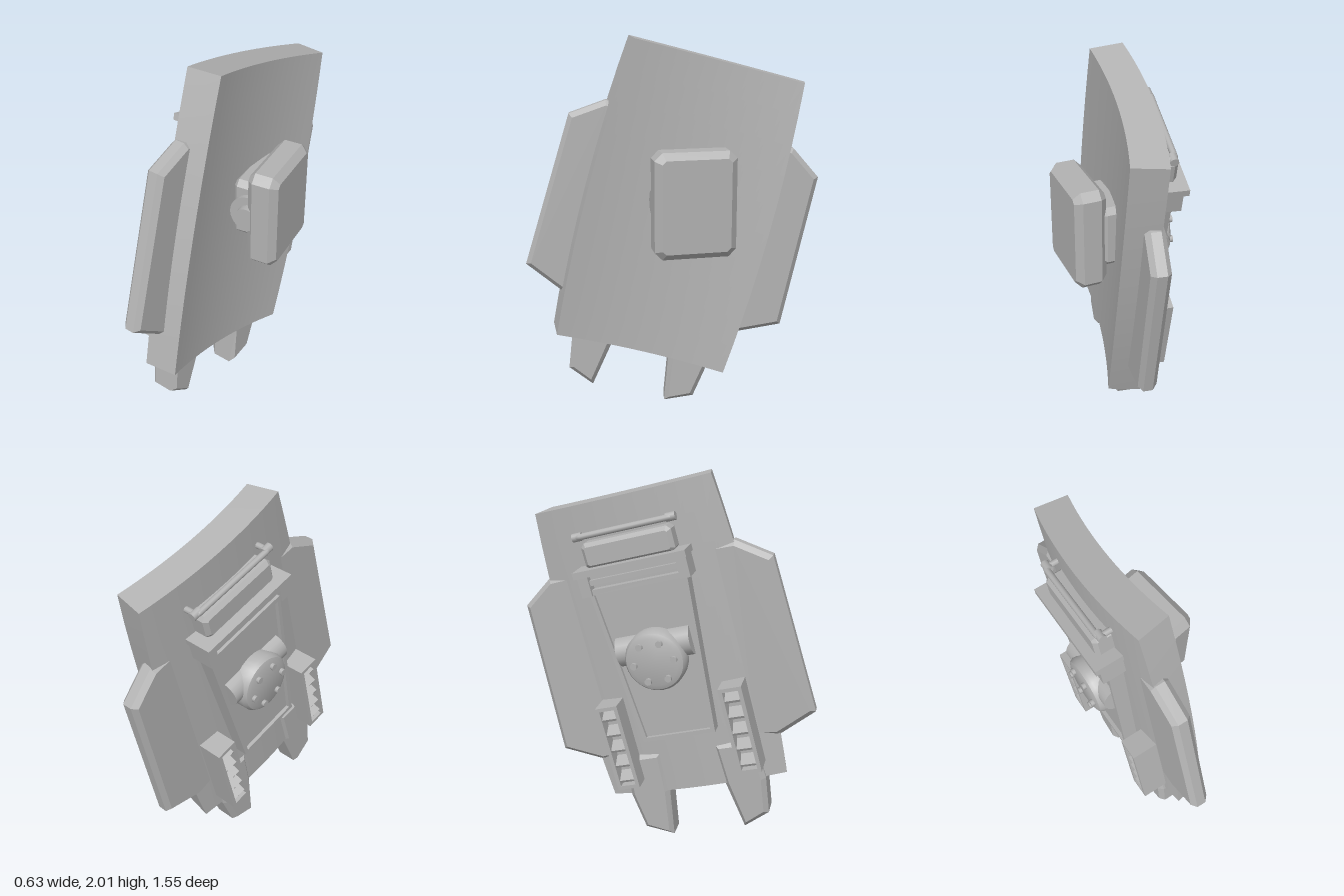
import * as THREE from 'three';
import { toCreasedNormals } from 'three/addons/utils/BufferGeometryUtils.js';

const grey = new THREE.MeshStandardMaterial({ color: 0xb2b2b2 });
grey.name = 'plain grey';

function add(parent, name, geometry, x = 0, y = 0, z = 0) {
  const mesh = new THREE.Mesh(geometry, grey);
  mesh.name = name;
  mesh.position.set(x, y, z);
  parent.add(mesh);
  return mesh;
}

const path = (Type, pts) => new Type(pts.map(([u, v]) => new THREE.Vector2(u, v)));

// Slab with a (z, y) outline, reaching from x = x0 to x = x1, chamfered by bevel
function slab(pts, x0, x1, bevel = 0, hole = null) {
  const shape = path(THREE.Shape, pts);
  if (hole) shape.holes.push(path(THREE.Path, hole));
  const g = new THREE.ExtrudeGeometry(shape, {
    depth: x1 - x0 - 2 * bevel, bevelEnabled: bevel > 0, bevelSize: bevel,
    bevelThickness: bevel, bevelOffset: -bevel, bevelSegments: 1,
  });
  g.rotateY(-Math.PI / 2);
  return g.translate(x1 - bevel, 0, 0);
}

const mirror = (pts, s) => pts.map(([u, v]) => [u * s, v]);
const rect = (u0, u1, v0, v1) => [[u0, v0], [u1, v0], [u1, v1], [u0, v1]];
const cutRect = (u0, u1, v0, v1, c) => [
  [u0 + c, v0], [u1 - c, v0], [u1, v0 + c], [u1, v1 - c],
  [u1 - c, v1], [u0 + c, v1], [u0, v1 - c], [u0, v0 + c],
];

// Plate bent round a lengthwise axis, a little wider in the middle
function plateGeometry() {
  const R = 2.56, T = 0.175, L = 1.624;
  const g = new THREE.BoxGeometry(T, L, 1, 1, 10, 14);
  const p = g.attributes.position;
  const rim = R * Math.cos(Math.asin(0.455 / R));
  for (let i = 0; i < p.count; i++) {
    const t = p.getY(i) / L + 0.5;
    const w = 0.465 - 0.02 * t + 0.14 * t * (1 - t);
    const a = 2 * p.getZ(i) * Math.asin(w / R);
    const r = R + T / 2 - p.getX(i);
    p.setXYZ(i, rim - r * Math.cos(a), p.getY(i), r * Math.sin(a));
  }
  return toCreasedNormals(g, 0.5);
}

// Louvred box on the outer face
function vent(parent, s) {
  const g = new THREE.Group();
  g.name = 'vent';
  parent.add(g);
  const u = 0.34 * s;
  add(g, 'ventFrame', slab(rect(u - 0.062, u + 0.062, -0.72, -0.24), -0.325, -0.18, 0,
    rect(u - 0.042, u + 0.042, -0.7, -0.26)));
  add(g, 'ventBack', slab(rect(u - 0.05, u + 0.05, -0.71, -0.25), -0.25, -0.18));
  for (let i = 0; i < 5; i++) {
    const slat = add(g, 'ventSlat', new THREE.BoxGeometry(0.075, 0.016, 0.086), -0.282, -0.3 - i * 0.09, u);
    slat.rotation.z = 0.5;
  }
}

export function createModel() {
  const model = new THREE.Group();
  model.name = 'shield';

  // Tilted frame: x through the plate, y along it, z across it
  const body = new THREE.Group();
  body.name = 'shieldBody';
  const v = new THREE.Vector3(0.037, 0.967, -0.2525).normalize();
  const n = v.clone().cross(new THREE.Vector3(-0.168, 0.247, 0.954)).normalize();
  const u = n.clone().cross(v);
  body.quaternion.setFromRotationMatrix(new THREE.Matrix4().makeBasis(n, v, u));
  body.position.set(0.0875, 1.1025, -0.01);
  model.add(body);

  add(body, 'curvedPlate', plateGeometry());

  // Side wings, lower prongs and vents, mirrored
  const wing = [[0.36, 0.47], [0.51, 0.466], [0.68, 0.35], [0.717, -0.497], [0.5, -0.596], [0.36, -0.58]];
  const prong = [[0.15, -0.58], [0.16, -0.815], [0.205, -1.085], [0.355, -1.02], [0.385, -0.815], [0.37, -0.58]];
  for (const s of [1, -1]) {
    add(body, 'sideWing', slab(mirror(wing, s), -0.185, -0.085, 0.025));
    add(body, 'lowerProng', slab(mirror(prong, s), -0.225, -0.065, 0.025));
    vent(body, s);
  }

  // Tapered panel with a raised rim
  const taper = (d) => [[-0.2 + d, -0.48 + d], [0.2 - d, -0.48 + d], [0.27 - d, 0.46 - d], [-0.27 + d, 0.46 - d]];
  add(body, 'panel', slab(taper(0.005), -0.265, -0.15));
  add(body, 'panelRim', slab(taper(0), -0.285, -0.16, 0, taper(0.022)));

  // Ledge with end blocks and rails
  add(body, 'ledge', slab(rect(-0.3, 0.3, 0.465, 0.5), -0.35, -0.17));
  for (const s of [1, -1]) {
    add(body, 'ledgeBlock', slab(mirror(rect(0.235, 0.29, 0.36, 0.466), s), -0.325, -0.17));
  }
  for (const y of [0.375, 0.425]) {
    add(body, 'ledgeRail', slab(rect(-0.24, 0.24, y - 0.014, y + 0.014), -0.31, -0.2));
  }

  // Pack and bent pipe above the ledge
  add(body, 'upperPack', slab(cutRect(-0.24, 0.24, 0.49, 0.625, 0.02), -0.3, -0.18, 0.02));
  const bend = [[-0.19, -0.25], [-0.262, -0.25], [-0.272, -0.235], [-0.272, 0.235], [-0.262, 0.25], [-0.19, 0.25]];
  const curve = new THREE.CatmullRomCurve3(
    bend.map(([x, z]) => new THREE.Vector3(x, 0.66, z)), false, 'catmullrom', 0.1);
  add(body, 'upperPipe', new THREE.TubeGeometry(curve, 48, 0.016, 10));
  for (const s of [1, -1]) {
    add(body, 'pipeEnd', new THREE.CylinderGeometry(0.022, 0.022, 0.05, 12).rotateX(Math.PI / 2), -0.262, 0.66, 0.25 * s);
  }

  // Round cover with a ring of bolts, over a cross barrel
  add(body, 'crossBarrel', new THREE.CylinderGeometry(0.08, 0.08, 0.4, 20).rotateX(Math.PI / 2), -0.25, 0.03, 0);
  const cover = [[0, 0.105], [0.125, 0.105], [0.15, 0.095], [0.162, 0.075], [0.162, 0], [0, 0]]
    .reverse().map(([r, h]) => new THREE.Vector2(r, h));
  add(body, 'roundCover', toCreasedNormals(new THREE.LatheGeometry(cover, 32).rotateZ(Math.PI / 2), 0.6), -0.25, -0.03, 0);
  for (let i = 0; i < 6; i++) {
    const a = (i + 0.5) * Math.PI / 3;
    add(body, 'coverBolt', new THREE.CylinderGeometry(0.018, 0.018, 0.03, 10).rotateZ(Math.PI / 2),
      -0.358, -0.03 + 0.108 * Math.cos(a), 0.108 * Math.sin(a));
  }

  // Upright mount on the inner face
  const mount = new THREE.Group();
  mount.name = 'mount';
  model.add(mount);
  add(mount, 'mountPad', slab(cutRect(-0.27, 0.155, 0.91, 1.46, 0.04), 0.14, 0.305, 0.035));
  add(mount, 'mountBlock', slab(cutRect(-0.26, 0.08, 1.02, 1.35, 0.03), 0.035, 0.16, 0.02));
  const hub = (name, r, z0, z1) => add(mount, name,
    new THREE.CylinderGeometry(r, r, z1 - z0, 28).rotateX(Math.PI / 2), 0.14, 1.18, (z0 + z1) / 2);
  hub('mountHub', 0.11, -0.2, 0.105);
  hub('mountPin', 0.065, -0.2, 0.145);

  return model;
}
